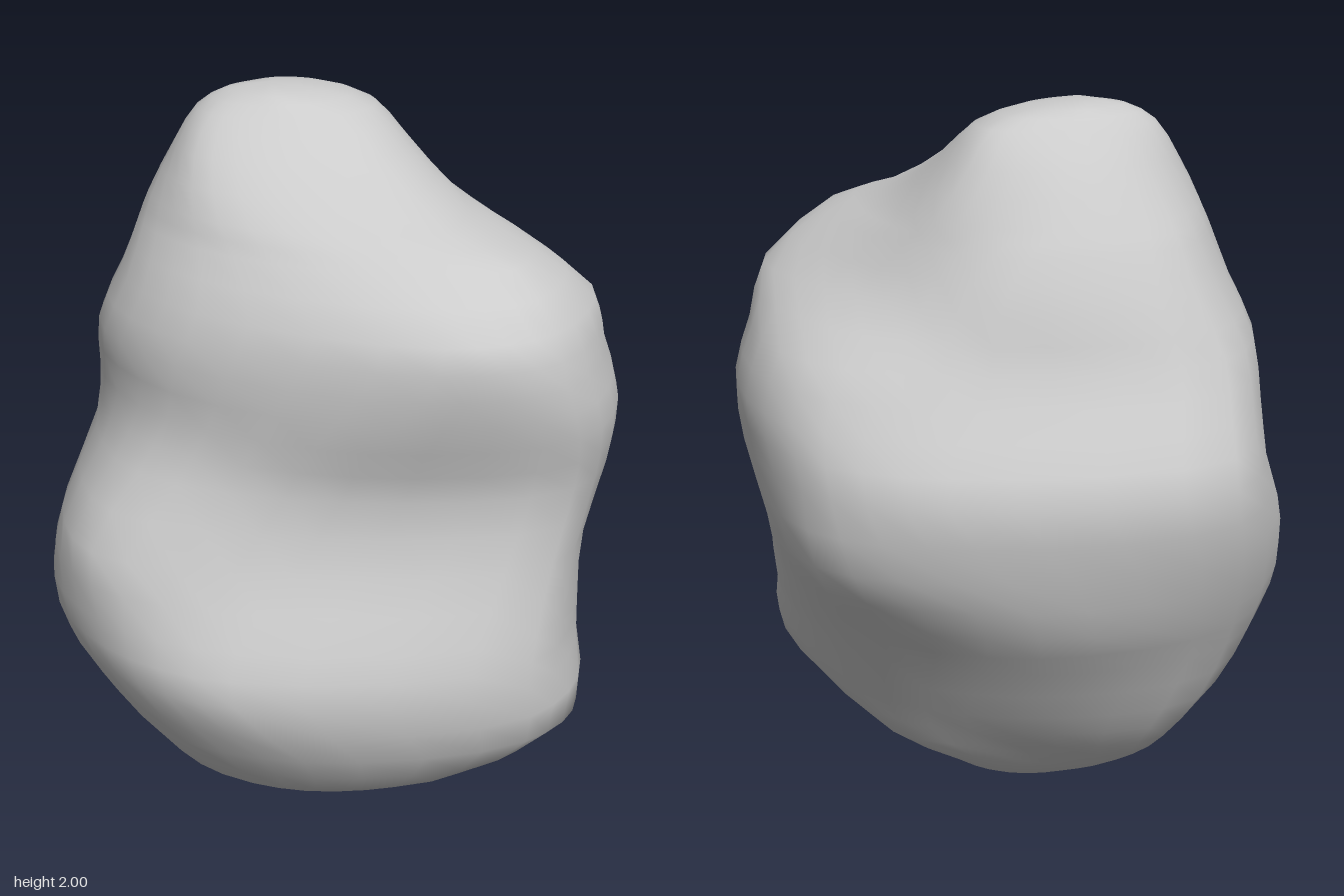
import * as THREE from 'three';
import { mergeVertices } from 'three/addons/utils/BufferGeometryUtils.js';

// Horizontal sections, bottom to top: height, x range, z range, then reach
// along the four diagonals (+x+z, -x+z, -x-z, +x-z) as a sum of both offsets.
const SECTIONS = [
  [0.05, -0.21, 0.11, -0.14, 0.25, 0.25, 0.33, 0.28, 0.18],
  [0.14, -0.37, 0.20, -0.26, 0.44, 0.54, 0.63, 0.54, 0.38],
  [0.24, -0.45, 0.46, -0.34, 0.60, 0.87, 0.83, 0.70, 0.58],
  [0.38, -0.60, 0.69, -0.44, 0.69, 1.10, 0.99, 0.84, 0.69],
  [0.56, -0.74, 0.69, -0.56, 0.73, 1.13, 1.11, 0.95, 0.82],
  [0.70, -0.78, 0.69, -0.65, 0.69, 1.12, 1.12, 1.03, 0.94],
  [0.88, -0.75, 0.70, -0.71, 0.61, 1.10, 1.10, 1.11, 1.10],
  [1.08, -0.67, 0.76, -0.725, 0.58, 1.11, 0.91, 1.14, 1.11],
  [1.23, -0.65, 0.775, -0.655, 0.62, 1.15, 0.82, 1.07, 1.07],
  [1.38, -0.64, 0.73, -0.58, 0.655, 1.15, 0.81, 0.98, 0.96],
  [1.52, -0.575, 0.69, -0.54, 0.65, 1.10, 0.74, 0.88, 0.71],
  [1.655, -0.525, 0.51, -0.49, 0.49, 0.91, 0.63, 0.78, 0.59],
  [1.72, -0.50, 0.35, -0.455, 0.39, 0.64, 0.59, 0.72, 0.55],
  [1.85, -0.43, 0.20, -0.37, 0.18, 0.24, 0.47, 0.60, 0.44],
  [1.94, -0.37, 0.11, -0.29, 0.07, 0.05, 0.35, 0.51, 0.33],
  [1.985, -0.29, -0.02, -0.24, 0.02, -0.10, 0.22, 0.42, 0.16],
];
const AROUND = 32;
const UP = 34;

const bump = (y, at, width) => Math.exp(-(((y - at) / width) ** 2));

// Smooth closed loop through the four sides and four diagonals of a section
function sectionLoop([y, x0, x1, z0, z1, ...reach]) {
  const cx = (x0 + x1) / 2, cz = (z0 + z1) / 2;
  const ex = (x1 - x0) / 2, ez = (z1 - z0) / 2;
  // Lower corner, flank swelling and shoulder slide along the left side
  const leftZ = cz + 0.2 * bump(y, 0.38, 0.2) + 0.12 * bump(y, 1.1, 0.3) + 0.16 * bump(y, 1.62, 0.1);
  // Low bulge and shoulder slide along the front
  const frontX = cx - 0.2 * bump(y, 0.6, 0.25) + 0.25 * bump(y, 1.48, 0.2);
  // Low bulge on the right side, hump on the back
  const rightZ = cz + 0.15 * bump(y, 0.72, 0.3);
  const backX = cx + 0.15 * bump(y, 1.1, 0.25);
  const sides = [[x1, leftZ], [frontX, z1], [x0, rightZ], [backX, z0]];
  const signs = [[1, 1], [-1, 1], [-1, -1], [1, -1]];
  const points = [];
  for (let q = 0; q < 4; q++) {
    const [sx, sz] = signs[q];
    const c = (reach[q] - sx * cx - sz * cz) / (ex + ez);
    points.push(new THREE.Vector3(sides[q][0], y, sides[q][1]));
    points.push(new THREE.Vector3(cx + sx * c * ex, y, cz + sz * c * ez));
  }
  const curve = new THREE.CatmullRomCurve3(points, true);
  return Array.from({ length: AROUND }, (_, i) => curve.getPoint(i / AROUND));
}

function rockGeometry() {
  const loops = SECTIONS.map(sectionLoop);
  const bottom = new THREE.Vector3(-0.07, 0, 0.02);
  const top = new THREE.Vector3(-0.17, 2, -0.11);

  // Smooth meridians from the bottom tip to the crown
  const positions = [], index = [];
  for (let i = 0; i < AROUND; i++) {
    const meridian = new THREE.CatmullRomCurve3([bottom, ...loops.map((l) => l[i]), top]);
    for (let j = 0; j <= UP; j++) positions.push(...meridian.getPoint(j / UP).toArray());
  }
  for (let i = 0; i < AROUND; i++) {
    for (let j = 0; j < UP; j++) {
      const a = i * (UP + 1) + j;
      const b = ((i + 1) % AROUND) * (UP + 1) + j;
      if (j < UP - 1) index.push(a, a + 1, b + 1);
      if (j > 0) index.push(a, b + 1, b);
    }
  }
  let geometry = new THREE.BufferGeometry();
  geometry.setAttribute('position', new THREE.Float32BufferAttribute(positions, 3));
  geometry.setIndex(index);
  geometry = mergeVertices(geometry, 1e-4);
  geometry.computeVertexNormals();
  return geometry;
}

export function createModel() {
  const group = new THREE.Group();
  group.name = 'boulder';
  const rock = new THREE.Mesh(rockGeometry(), new THREE.MeshStandardMaterial({ color: 0xcccccc }));
  rock.name = 'rock';
  group.add(rock);
  return group;
}
